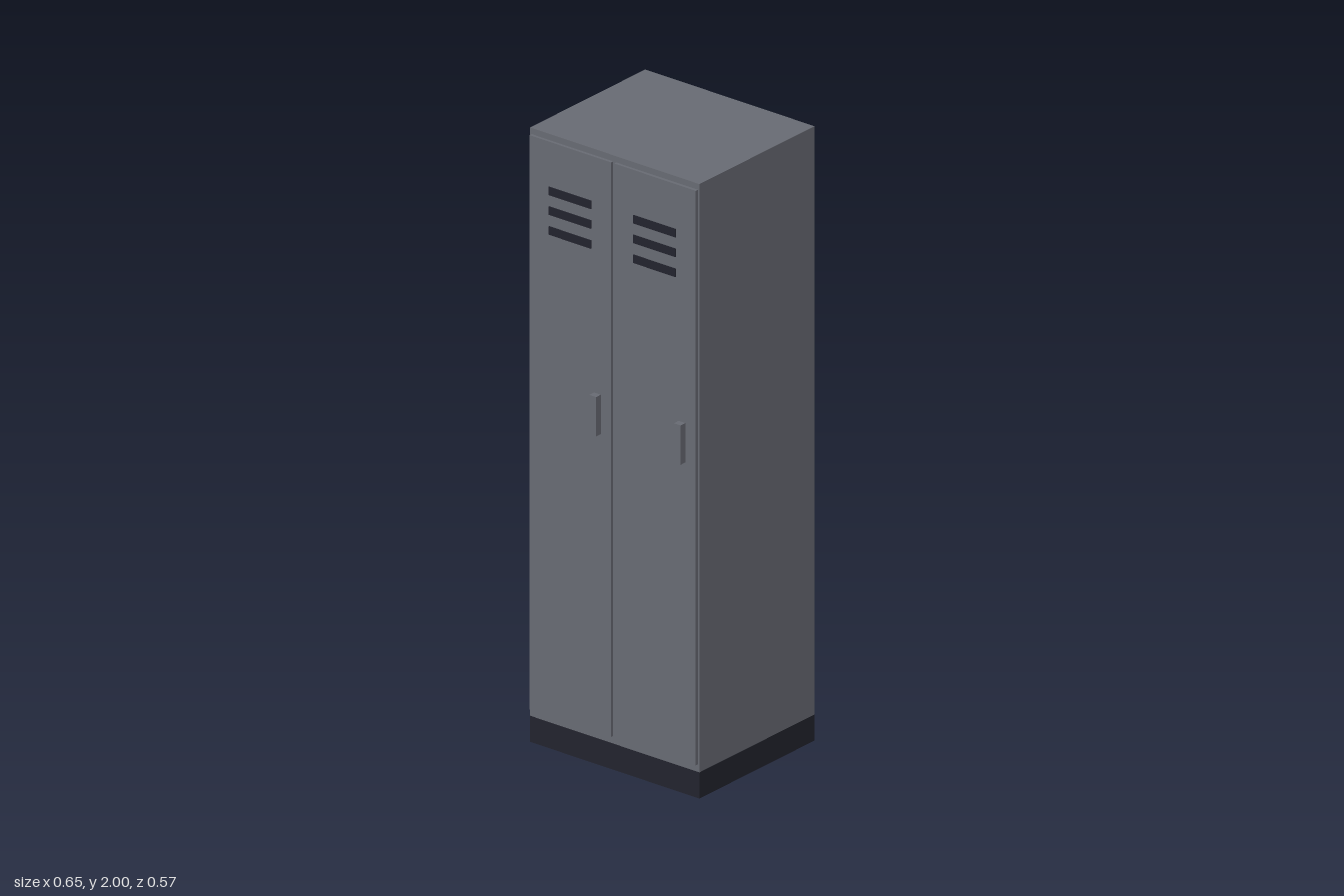
import * as THREE from 'three';

const paint = new THREE.MeshStandardMaterial({ color: 0x676a72 });
paint.name = 'greyPaint';
const dark = new THREE.MeshStandardMaterial({ color: 0x22232d });
dark.name = 'darkTrim';

// Box given by its min and max corners
function box(name, material, [x0, y0, z0], [x1, y1, z1]) {
  const mesh = new THREE.Mesh(new THREE.BoxGeometry(x1 - x0, y1 - y0, z1 - z0), material);
  mesh.position.set((x0 + x1) / 2, (y0 + y1) / 2, (z0 + z1) / 2);
  mesh.name = name;
  return mesh;
}

const BACK = -0.287, FRONT = 0.253, DOOR_FRONT = 0.263;

// One door, centred on its own x = 0, with vent slots and a handle
function createDoor(name, x) {
  const door = new THREE.Group();
  door.name = name;
  door.position.x = x;
  door.add(box('doorPanel', paint, [-0.156, 0.11, FRONT], [0.156, 1.98, DOOR_FRONT]));
  for (const y of [1.821, 1.757, 1.692]) {
    door.add(box('ventSlot', dark, [-0.081, y - 0.0135, DOOR_FRONT - 0.001], [0.081, y + 0.0135, 0.266]));
  }
  door.add(box('handle', paint, [0.091, 1.085, DOOR_FRONT], [0.117, 1.213, 0.286]));
  return door;
}

export function createModel() {
  const locker = new THREE.Group();
  locker.name = 'locker';
  // Plinth and cabinet
  locker.add(box('plinth', dark, [-0.324, 0, BACK], [0.324, 0.085, FRONT]));
  locker.add(box('cabinet', paint, [-0.324, 0.085, BACK], [0.324, 2, FRONT]));
  // Both doors are hinged on the same side
  locker.add(createDoor('rightDoor', -0.162), createDoor('leftDoor', 0.162));
  return locker;
}
